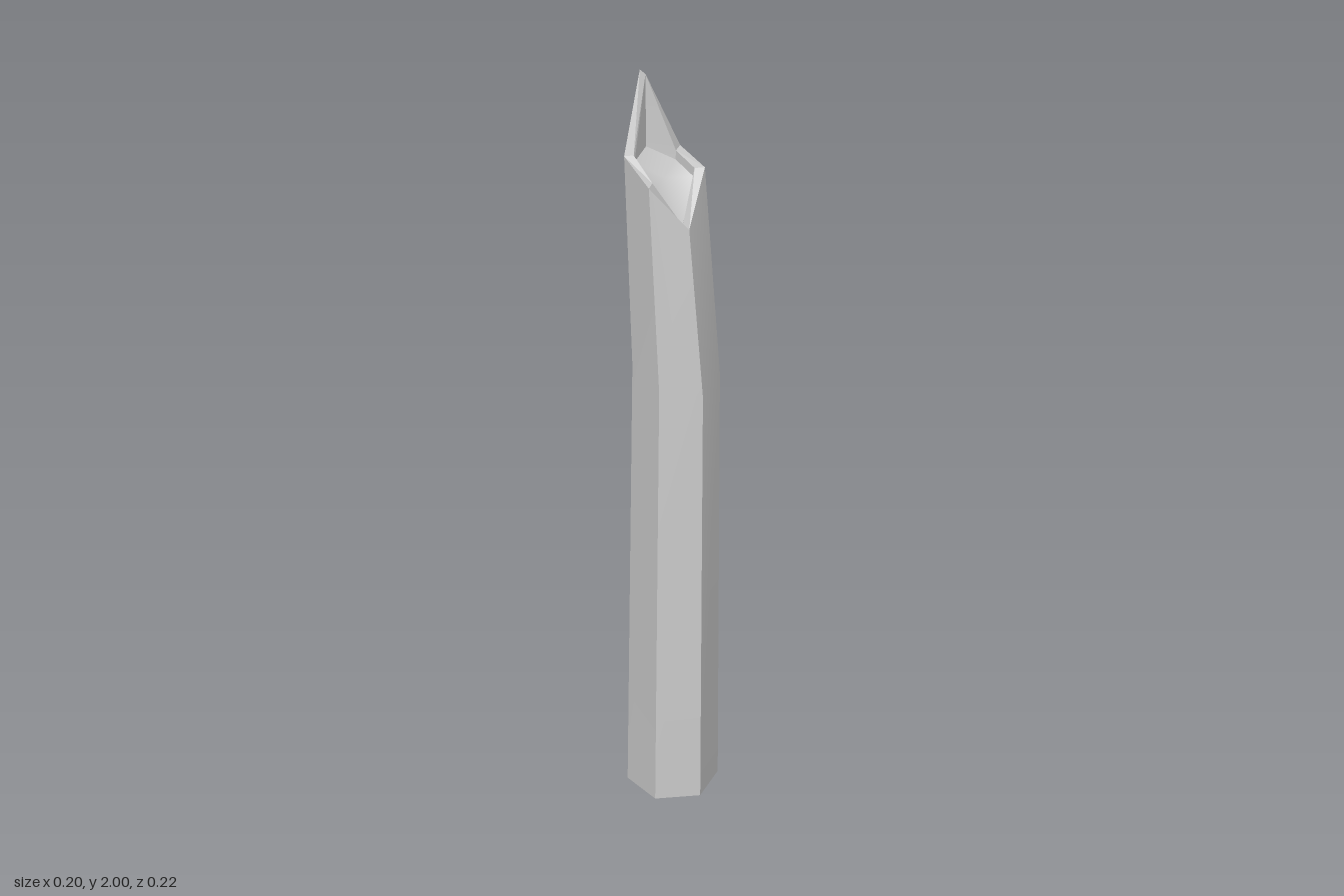
import * as THREE from 'three';
import { mergeVertices, toCreasedNormals } from 'three/addons/utils/BufferGeometryUtils.js';

const SIDES = 6;

// Hexagonal cross-section with corners on the z axis; height(i, x) gives each corner's y
function ring(centreX, radius, height) {
  return Array.from({ length: SIDES }, (_, i) => {
    const a = Math.PI / 6 + (i * Math.PI) / 3;
    const x = centreX + radius * Math.cos(a);
    return new THREE.Vector3(x, height(i, x), radius * Math.sin(a));
  });
}

// A ring collapsed to one point, used to close an end
function point(x, y) {
  return Array.from({ length: SIDES }, () => new THREE.Vector3(x, y, 0));
}

// Skin successive rings; rising rings face outward
function loft(rings) {
  const positions = [];
  const triangle = (a, b, c) => {
    if (a.equals(b) || b.equals(c) || a.equals(c)) return;
    for (const p of [a, b, c]) positions.push(p.x, p.y, p.z);
  };
  for (let r = 0; r < rings.length - 1; r++) {
    const lower = rings[r];
    const upper = rings[r + 1];
    for (let i = 0; i < SIDES; i++) {
      const j = (i + 1) % SIDES;
      triangle(lower[j], lower[i], upper[i]);
      triangle(lower[j], upper[i], upper[j]);
    }
  }
  const geometry = new THREE.BufferGeometry();
  geometry.setAttribute('position', new THREE.Float32BufferAttribute(positions, 3));
  return geometry;
}

export function createModel() {
  const group = new THREE.Group();
  group.name = 'brokenPost';
  const material = new THREE.MeshStandardMaterial({ color: 0xcccccc });
  const add = (name, geometry) => {
    const mesh = new THREE.Mesh(geometry, material);
    mesh.name = name;
    group.add(mesh);
  };

  // Corner heights of the jagged edge and of the hollow's floor
  const edgeHeights = [1.64, 1.77, 1.81, 2.0, 1.77, 1.76];
  const floorHeights = [1.635, 1.74, 1.79, 1.79, 1.745, 1.735];

  const base = ring(0.002, 0.108, () => 0);
  const bend = ring(0.011, 0.105, (i, x) => 1.19 - 0.25 * x);
  const outerEdge = ring(-0.019, 0.097, (i) => edgeHeights[i]);
  const innerEdge = ring(-0.02, 0.073, (i) => edgeHeights[i]);
  const floorEdge = ring(-0.02, 0.071, (i) => floorHeights[i]);

  // Six-sided shaft, leaning over above the bend, closed underneath
  add('shaft', toCreasedNormals(loft([point(0.002, 0), base, bend, outerEdge]), 0.4));

  // Splintered rim and the walls of the hollow
  add('splinteredRim', toCreasedNormals(loft([outerEdge, innerEdge, floorEdge]), 0.1));

  // Sloping floor inside the break
  const floor = mergeVertices(loft([floorEdge, point(-0.02, 1.74)]));
  floor.computeVertexNormals();
  add('hollowFloor', floor);

  return group;
}
